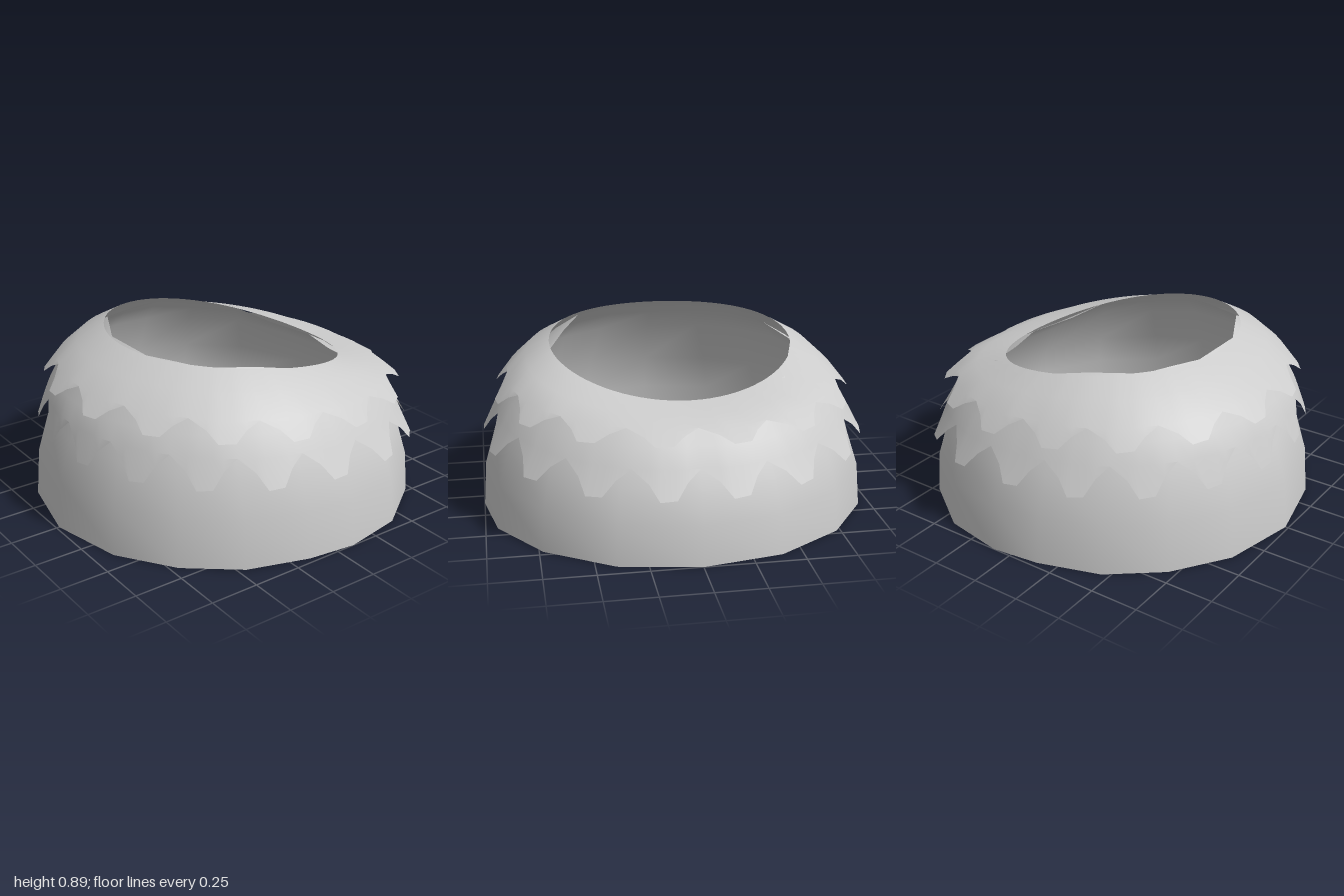
import * as THREE from 'three';

const material = new THREE.MeshStandardMaterial({ color: 0xcccccc, side: THREE.DoubleSide });

// Half outline of the base and of the top opening as [x, z], front to back
const baseHalf = [[0, 0.985], [0.39, 0.9], [0.67, 0.71], [0.87, 0.46], [0.97, 0.15],
  [1, -0.1], [0.94, -0.42], [0.73, -0.72], [0.4, -0.93], [0, -1]];
const rimHalf = [[0, 0.54], [0.16, 0.54], [0.3, 0.47], [0.44, 0.4], [0.54, 0.16],
  [0.635, -0.08], [0.57, -0.27], [0.5, -0.47], [0.25, -0.55], [0, -0.63]];

// Mirror a half outline into a closed loop
const mirrorLoop = (half) => [...half, ...half.slice(1, -1).reverse().map(([x, z]) => [-x, z])];

// Smooth value around the body from its front, side and back values
const around = (angle, [front, side, back]) => {
  const c = Math.cos(angle);
  return side + (front - back) / 2 * c + ((front + back) / 2 - side) * c * c;
};

// Skin closed rings, listed from bottom to top
function skin(name, rings) {
  const n = rings[0].length;
  const index = [];
  for (let i = 0; i < rings.length - 1; i++) {
    for (let j = 0; j < n; j++) {
      const k = (j + 1) % n;
      const a = i * n + j, b = i * n + k;
      index.push(a, b, a + n, b, b + n, a + n);
    }
  }
  const geometry = new THREE.BufferGeometry();
  geometry.setAttribute('position', new THREE.Float32BufferAttribute(rings.flat(2), 3));
  geometry.setIndex(index);
  geometry.computeVertexNormals();
  const mesh = new THREE.Mesh(geometry, material);
  mesh.name = name;
  return mesh;
}

// Open dome: the base outline draws in to the sloping rim
function makeDome() {
  const base = mirrorLoop(baseHalf), rim = mirrorLoop(rimHalf);
  const inward = [0, 0.05, 0.2, 0.45, 0.7, 1];
  const upward = [0, 0.29, 0.52, 0.79, 0.91, 1];
  const rings = inward.map((k, i) => base.map(([x, z], j) => {
    const [rx, rz] = rim[j];
    const top = around(Math.atan2(rx, rz), [0.88, 0.83, 0.68]);
    return [x + (rx - x) * k, top * upward[i], z + (rz - z) * k];
  }));
  return skin('dome', rings);
}

// Flat floor closing the base
function makeFloor() {
  const shape = new THREE.Shape(mirrorLoop(baseHalf).map(([x, z]) => new THREE.Vector2(x, -z)));
  const floor = new THREE.Mesh(new THREE.ShapeGeometry(shape).rotateX(-Math.PI / 2), material);
  floor.name = 'floor';
  return floor;
}

// One notched tooth: [position along the tooth, depth]
const tooth = [[0, 0], [0.26, 0.45], [0.42, 1], [0.65, 0.95], [0.8, 0.4]];

// Overlapping layer whose lower edge flares into teeth.
// Each row holds the [front, side, back] radii and heights; the last row is the tooth tips.
function makeLayer(name, teeth, rows) {
  const columns = [];
  for (let t = 0; t < teeth; t++) {
    for (const [s, depth] of tooth) columns.push({ angle: (t + s) / teeth * Math.PI * 2, depth });
  }
  const point = (angle, row) => {
    const bulge = 1 + (row.rim ? 0 : 0.04 * Math.max(0, -Math.sin(2 * angle) * Math.sign(Math.sin(angle))) * (Math.cos(angle) < 0 ? 1 : 0));
    const r = around(angle, row.r) * bulge;
    return new THREE.Vector3(r * Math.sin(angle), around(angle, row.y), r * Math.cos(angle));
  };
  const upper = rows.slice(0, -1), tip = rows[rows.length - 1];
  const rings = upper.map((row) => columns.map(({ angle }) => point(angle, row).toArray()));
  rings.push(columns.map(({ angle, depth }) =>
    point(angle, upper[upper.length - 1]).lerp(point(angle, tip), depth).toArray()));
  return skin(name, rings.reverse());
}

export function createModel() {
  const group = new THREE.Group();
  group.name = 'layeredDome';
  group.add(makeDome(), makeFloor());
  group.add(makeLayer('upperLayer', 16, [
    { r: [0.575, 0.63, 0.62], y: [0.888, 0.842, 0.695], rim: true },
    { r: [0.72, 0.75, 0.75], y: [0.82, 0.78, 0.668] },
    { r: [0.83, 0.85, 0.84], y: [0.735, 0.69, 0.635] },
    { r: [0.91, 0.92, 0.93], y: [0.655, 0.6, 0.58] },
  ]));
  group.add(makeLayer('lowerLayer', 18, [
    { r: [0.76, 0.78, 0.78], y: [0.77, 0.73, 0.63] },
    { r: [0.85, 0.86, 0.86], y: [0.65, 0.62, 0.55] },
    { r: [0.895, 0.91, 0.91], y: [0.56, 0.53, 0.46] },
    { r: [0.945, 0.985, 0.985], y: [0.41, 0.395, 0.33] },
  ]));
  return group;
}
